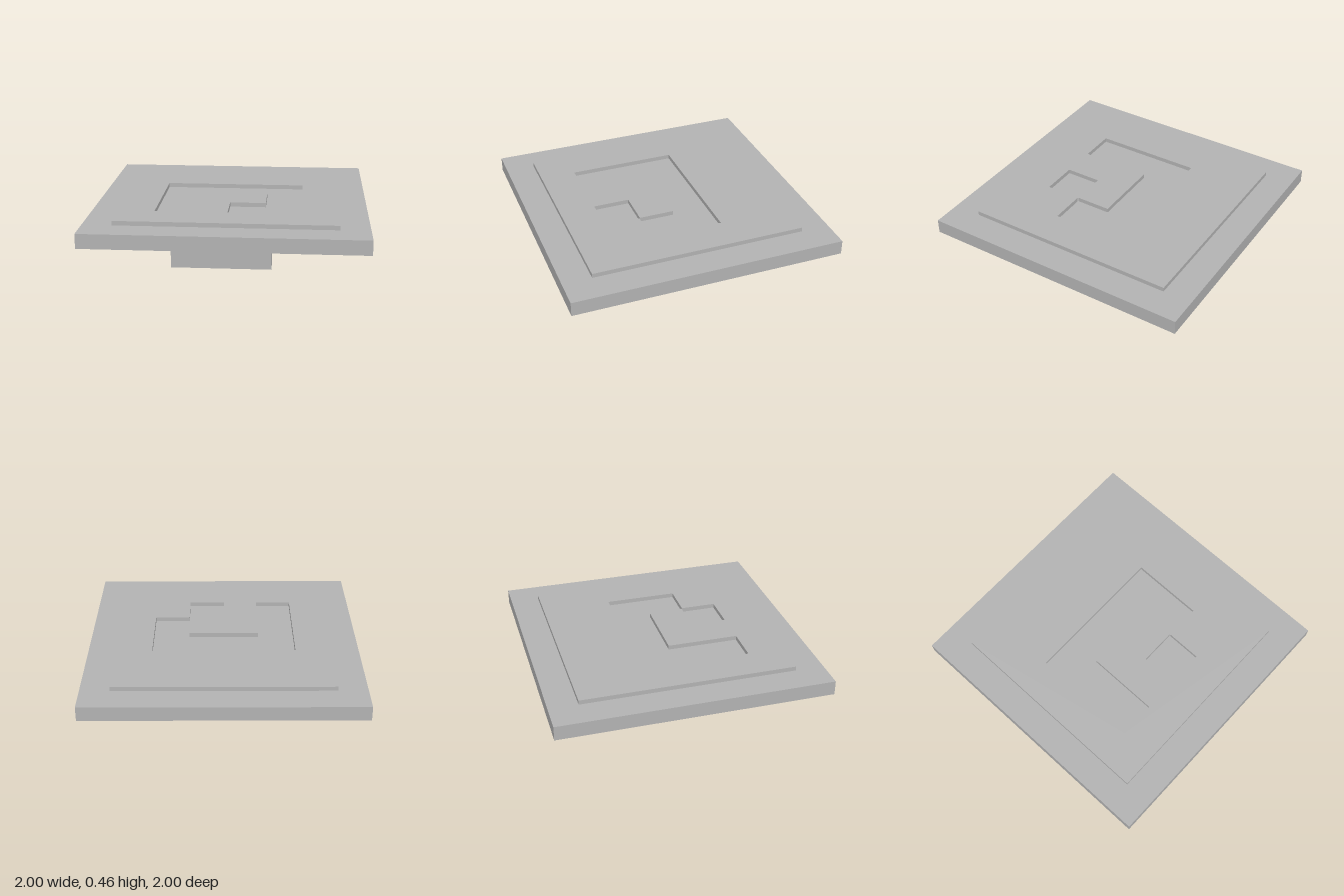
import * as THREE from 'three';

export function createModel() {
  const model = new THREE.Group();
  model.name = 'tile';
  const grey = new THREE.MeshStandardMaterial({ color: 0xb2b2b2 });
  grey.name = 'grey';

  // Box given by its minimum and maximum corners
  function addBox(name, [x0, y0, z0], [x1, y1, z1]) {
    const mesh = new THREE.Mesh(new THREE.BoxGeometry(x1 - x0, y1 - y0, z1 - z0), grey);
    mesh.position.set((x0 + x1) / 2, (y0 + y1) / 2, (z0 + z1) / 2);
    mesh.name = name;
    model.add(mesh);
  }
  const points = (list) => list.map(([x, z]) => new THREE.Vector2(x, z));

  const slabBottom = 0.32, slabTop = 0.426, plateTop = 0.458;

  // Square slab
  addBox('slab', [-1, slabBottom, -1], [1, slabTop, 1]);

  // Corner-shaped foot made of two walls with a hairline seam
  addBox('footFrontWall', [-0.43, 0, 0.326], [0.31, slabBottom, 0.43]);
  addBox('footSideWall', [-0.43, 0, -0.31], [-0.326, slabBottom, 0.319]);

  // Raised plate with an angular cut-out: hook and small square meeting at a corner
  const h = 0.788;
  const plate = new THREE.Shape(points([[-h, -h], [h, -h], [h, h], [-h, h]]));
  plate.holes.push(new THREE.Path(points([
    [-0.527, -0.267], [0.525, -0.267], [0.525, 0.264], [0.264, 0.264],
    [0.264, 0.525], [-0.004, 0.525], [-0.004, 0.259], [0.259, 0.259],
    [0.259, 0], [-0.262, 0], [-0.262, 0.525], [-0.527, 0.525],
  ])));
  const geometry = new THREE.ExtrudeGeometry(plate, { depth: plateTop - slabTop, bevelEnabled: false });
  geometry.rotateX(Math.PI / 2);
  const raised = new THREE.Mesh(geometry, grey);
  raised.position.y = plateTop;
  raised.name = 'raisedPlate';
  model.add(raised);

  return model;
}
